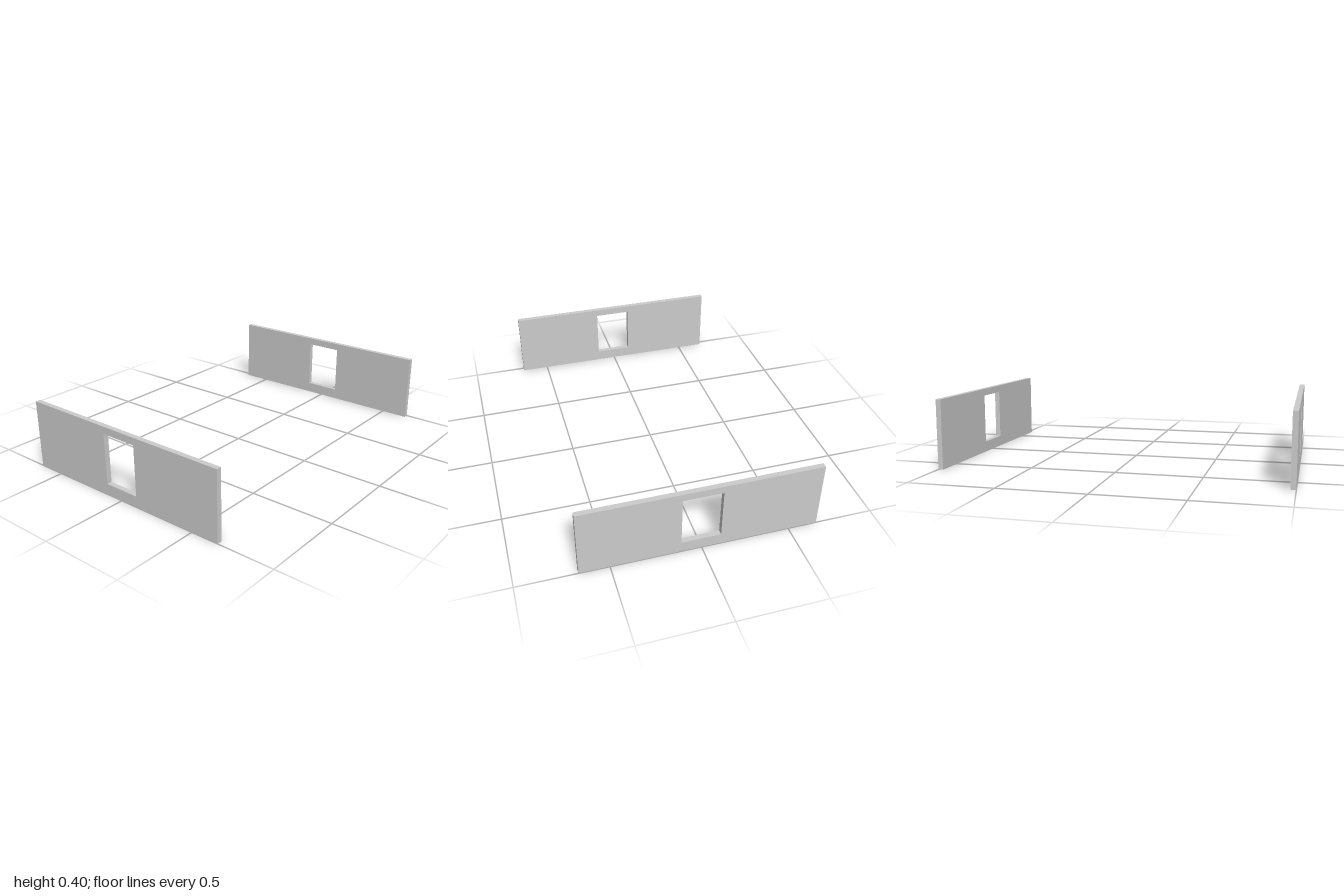
import * as THREE from 'three';

const LENGTH = 1.334, HEIGHT = 0.404, THICKNESS = 0.03;
const OPENING = { back: -0.107, front: 0.114, bottom: 0.065, top: 0.361 };

function rectangle(path, x0, y0, x1, y1) {
  path.moveTo(x0, y0);
  path.lineTo(x1, y0);
  path.lineTo(x1, y1);
  path.lineTo(x0, y1);
  path.closePath();
  return path;
}

export function createModel() {
  const model = new THREE.Group();
  model.name = 'wallPair';
  const material = new THREE.MeshStandardMaterial({ color: 0xcccccc, flatShading: true });

  // Wall profile along z, with the window cut through it
  const profile = rectangle(new THREE.Shape(), -LENGTH / 2, 0, LENGTH / 2, HEIGHT);
  profile.holes.push(rectangle(new THREE.Path(), OPENING.back, OPENING.bottom, OPENING.front, OPENING.top));

  // Turn the profile so its length runs along z, and centre the thickness on x
  const geometry = new THREE.ExtrudeGeometry(profile, { depth: THICKNESS, bevelEnabled: false });
  geometry.translate(0, 0, -THICKNESS / 2);
  geometry.rotateY(-Math.PI / 2);

  // Two identical parallel walls
  for (const [name, side] of [['leftWall', 1], ['rightWall', -1]]) {
    const wall = new THREE.Mesh(geometry, material);
    wall.name = name;
    wall.position.x = side * (1 - THICKNESS / 2);
    model.add(wall);
  }
  return model;
}
